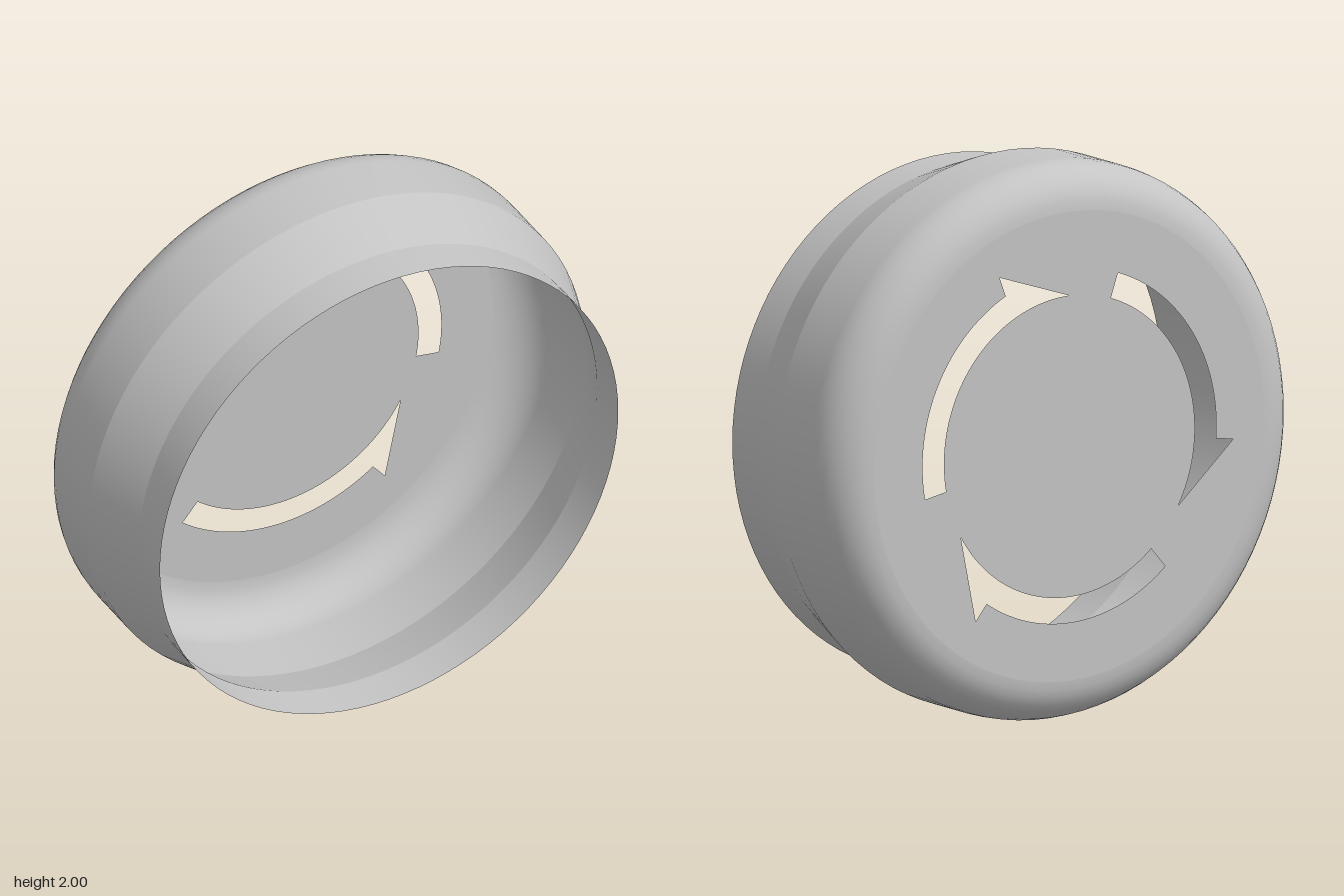
import * as THREE from 'three';

const SEGMENTS = 96;
const FILLET = 0.16;
const BACK = -0.37;

// Curved arrow outline, running anticlockwise round the centre
function arrowHole(turn) {
  const rad = (deg) => THREE.MathUtils.degToRad(deg + turn);
  const polar = (r, deg) => [r * Math.cos(rad(deg)), r * Math.sin(rad(deg))];
  const inner = 0.54, outer = 0.632, tail = -10.7, neck = 64.3, tip = 90;
  const hole = new THREE.Path();
  hole.moveTo(...polar(inner, tail));
  hole.lineTo(...polar(outer, tail));
  hole.absarc(0, 0, outer, rad(tail), rad(neck), false);
  hole.lineTo(...polar(0.707, 64.8)); // barb
  hole.lineTo(...polar(inner, tip));
  hole.absarc(0, 0, inner, rad(tip), rad(tail), true);
  hole.closePath();
  return hole;
}

export function createModel() {
  const group = new THREE.Group();
  group.name = 'cap';
  const grey = new THREE.MeshStandardMaterial({ color: 0xc4c4c4, side: THREE.DoubleSide });
  grey.name = 'grey';

  const add = (name, geometry) => {
    const mesh = new THREE.Mesh(geometry, grey);
    mesh.name = name;
    mesh.position.y = 1;
    group.add(mesh);
  };

  // Ring-shaped wall from [radius, z] points, back to front
  const wall = (name, points) => {
    const profile = points.map(([r, z]) => new THREE.Vector2(r, z));
    add(name, new THREE.LatheGeometry(profile, SEGMENTS).rotateX(Math.PI / 2));
  };

  // Rounded back edge running into the wide straight wall
  const rounded = [];
  for (let i = 0; i <= 8; i++) {
    const a = (i / 8) * Math.PI / 2;
    rounded.push([1 - FILLET + FILLET * Math.sin(a), BACK + FILLET * (1 - Math.cos(a))]);
  }
  rounded.push([1, 0]);
  wall('roundedWall', rounded);
  wall('taperedWall', [[1, 0], [0.925, 0.22]]);
  wall('frontCollar', [[0.925, 0.22], [0.925, 0.37]]);

  // Flat back with three arrow cut-outs
  const disc = new THREE.Shape();
  disc.absarc(0, 0, 1 - FILLET, 0, Math.PI * 2, false);
  for (let i = 0; i < 3; i++) disc.holes.push(arrowHole(i * 120));
  add('backPanel', new THREE.ShapeGeometry(disc, SEGMENTS / 2).translate(0, 0, BACK));

  return group;
}
